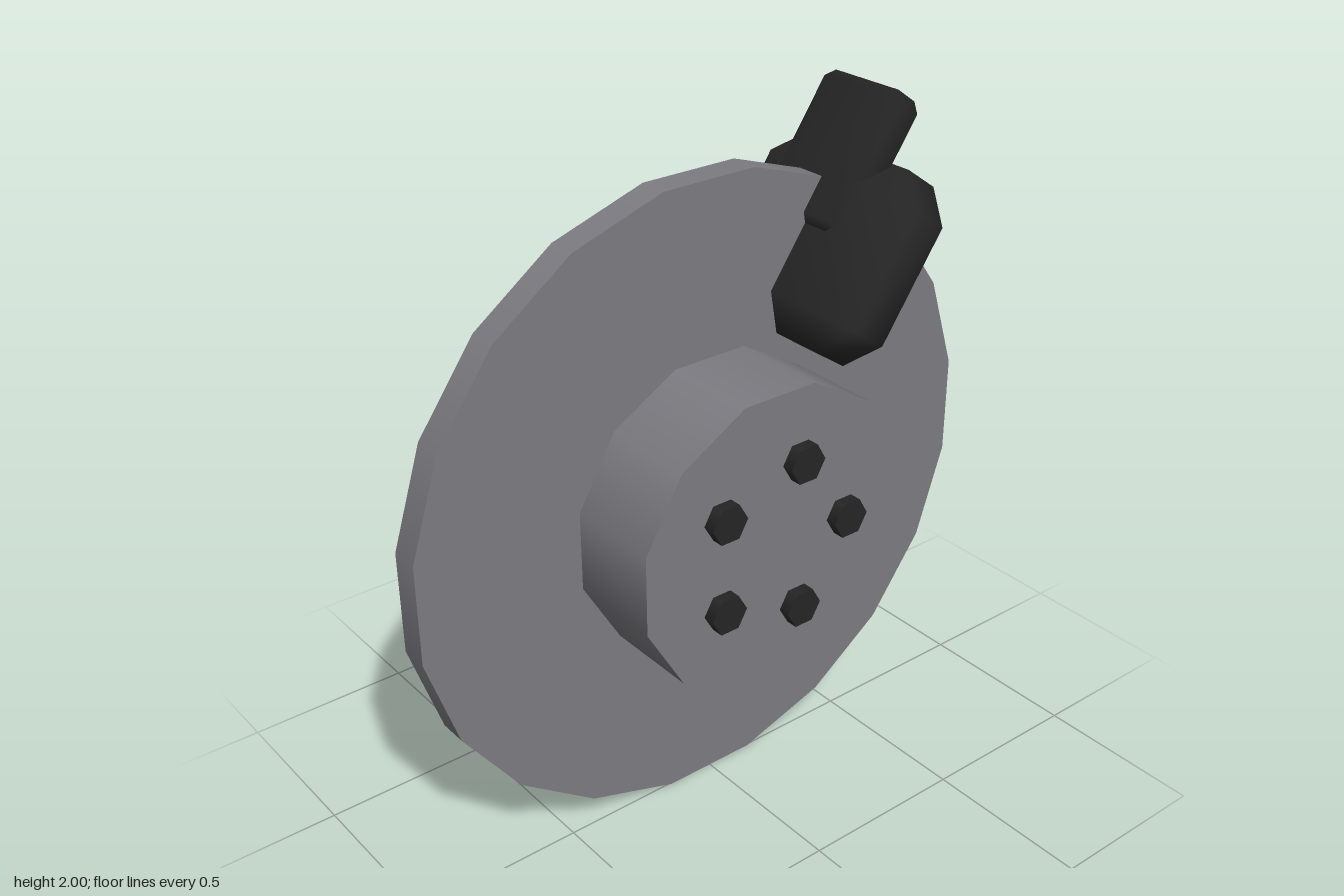
import * as THREE from 'three';
import { mergeVertices } from 'three/addons/utils/BufferGeometryUtils.js';
import { ConvexGeometry } from 'three/addons/geometries/ConvexGeometry.js';

const steel = new THREE.MeshStandardMaterial({ name: 'brushed steel', color: 0x7d7c82 });
const black = new THREE.MeshStandardMaterial({ name: 'caliper black', color: 0x262626 });

// Cylinder lying along x between x0 and x1
function wheel(name, radius, x0, x1, sides, turn, material) {
  const geometry = new THREE.CylinderGeometry(radius, radius, x1 - x0, sides, 1, false, turn);
  geometry.rotateZ(-Math.PI / 2).translate((x0 + x1) / 2, 0, 0);
  const mesh = new THREE.Mesh(geometry, material);
  mesh.name = name;
  return mesh;
}

// Box with single-step chamfers and softly shaded edges
function chamferBox(name, hx, hy, hz, c) {
  const points = [];
  for (const sx of [-1, 1]) for (const sy of [-1, 1]) for (const sz of [-1, 1]) {
    points.push(
      new THREE.Vector3(sx * hx, sy * (hy - c), sz * (hz - c)),
      new THREE.Vector3(sx * (hx - c), sy * hy, sz * (hz - c)),
      new THREE.Vector3(sx * (hx - c), sy * (hy - c), sz * hz));
  }
  let geometry = new ConvexGeometry(points);
  geometry.deleteAttribute('normal');
  geometry = mergeVertices(geometry);
  geometry.computeVertexNormals();
  const mesh = new THREE.Mesh(geometry, black);
  mesh.name = name;
  return mesh;
}

export function createModel() {
  const model = new THREE.Group();
  model.name = 'brakeDisc';

  // Disc and hub share an axle along x
  const rotor = new THREE.Group();
  rotor.name = 'rotor';
  rotor.position.y = 0.93;
  rotor.add(wheel('disc', 0.94, -0.08, 0.005, 20, Math.PI / 20, steel));
  rotor.add(wheel('hub', 0.45, 0, 0.29, 12, Math.PI / 12, steel));

  // Five hexagonal wheel bolts
  for (let i = 0; i < 5; i++) {
    const a = (i * Math.PI * 2) / 5;
    const bolt = wheel('bolt', 0.058, 0.288, 0.325, 6, 0, black);
    bolt.position.set(0, Math.sin(a) * 0.235, -Math.cos(a) * 0.235);
    rotor.add(bolt);
  }
  model.add(rotor);

  // Caliper straddling the rim, tilted outward along the disc radius
  const caliper = new THREE.Group();
  caliper.name = 'caliper';
  caliper.position.set(-0.035, 1.555, -0.435);
  caliper.rotation.x = -0.611;
  caliper.add(chamferBox('caliperBody', 0.295, 0.268, 0.153, 0.093));
  const bracket = chamferBox('caliperBracket', 0.15, 0.21, 0.068, 0.03);
  bracket.position.set(0, 0.23, 0.108);
  caliper.add(bracket);
  model.add(caliper);

  return model;
}
